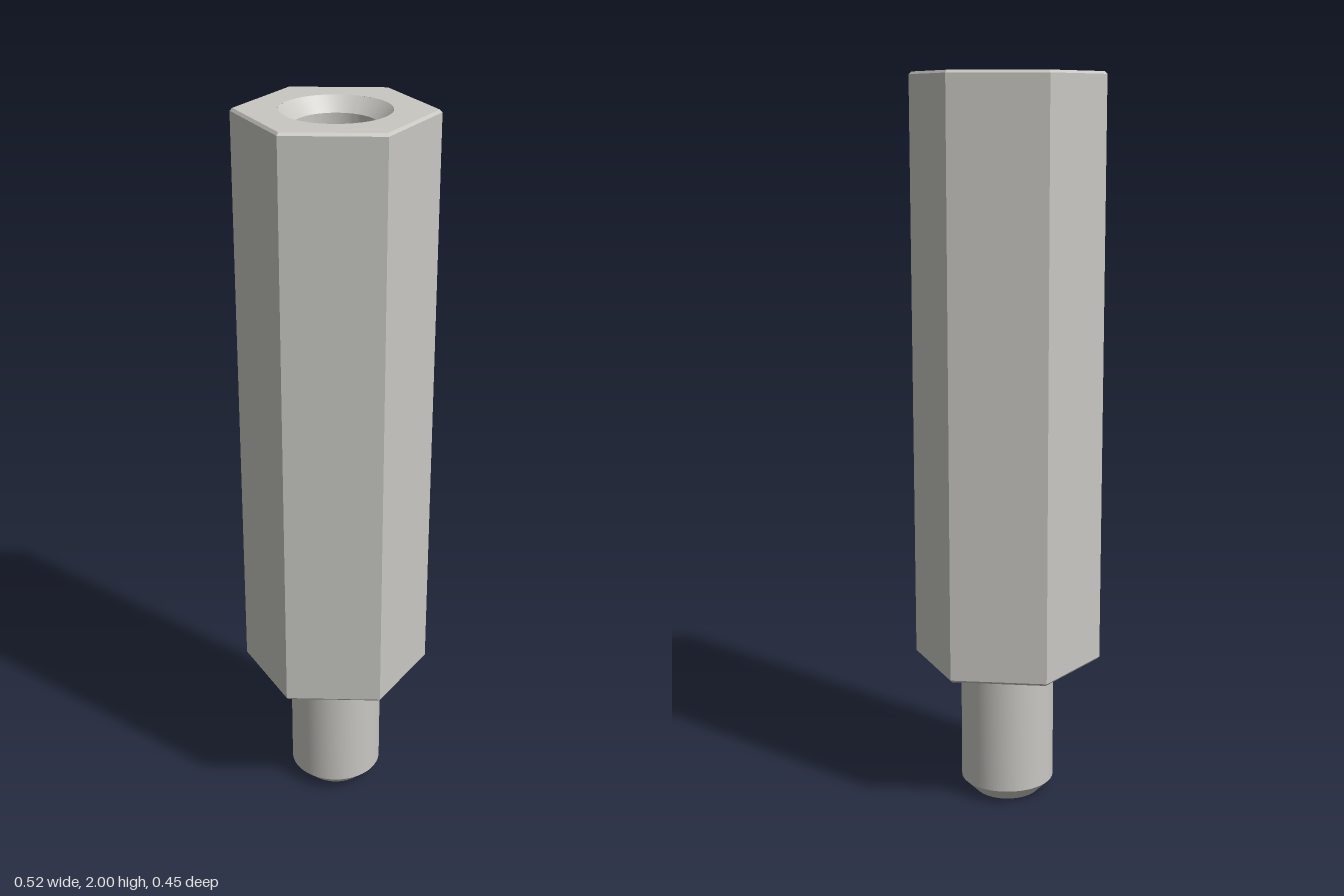
import * as THREE from 'three';
import { toCreasedNormals } from 'three/addons/utils/BufferGeometryUtils.js';

const HEX = 0.26, EDGE = 0.007;         // corner radius and edge chamfer
const BODY_BOTTOM = 0.395, TOP = 2;
const SINK = 0.142, BORE = 0.105, BORE_FLOOR = 1.2;

const metal = new THREE.MeshStandardMaterial({ color: 0xc8c7c2 });
metal.name = 'brushed steel';

// Revolve [radius, height] points; the profile runs so that faces point outward
function turned(name, profile, sides) {
  const points = profile.map(([r, y]) => new THREE.Vector2(r, y));
  const lathe = new THREE.LatheGeometry(points, sides, Math.PI / 2);
  const mesh = new THREE.Mesh(toCreasedNormals(lathe, 0.5), metal);
  mesh.name = name;
  return mesh;
}

export function createModel() {
  const group = new THREE.Group();
  group.name = 'hexStandoff';

  // Hexagonal body with thin chamfers at both ends
  group.add(turned('hexBody', [
    [0.1, BODY_BOTTOM], [HEX - EDGE, BODY_BOTTOM], [HEX, BODY_BOTTOM + EDGE],
    [HEX, TOP - EDGE], [HEX - EDGE, TOP],
  ], 6));

  // Top face with the round opening
  const corners = Array.from({ length: 6 }, (_, i) => new THREE.Vector2(
    (HEX - EDGE) * Math.cos(i * Math.PI / 3), (HEX - EDGE) * Math.sin(i * Math.PI / 3)));
  const face = new THREE.Shape(corners);
  face.holes.push(new THREE.Path().absarc(0, 0, SINK, 0, Math.PI * 2, true));
  const topFace = new THREE.Mesh(new THREE.ShapeGeometry(face, 64), metal);
  topFace.name = 'topFace';
  topFace.rotation.x = -Math.PI / 2;
  topFace.position.y = TOP;
  group.add(topFace);

  // Countersunk blind bore, seen from inside
  group.add(turned('bore', [
    [SINK, TOP], [BORE, TOP - 0.037], [BORE, BORE_FLOOR], [0, BORE_FLOOR],
  ], 64));

  // Stud with chamfered tip
  group.add(turned('stud', [
    [0, 0], [0.09, 0], [0.13, 0.04], [0.13, BODY_BOTTOM],
  ], 64));

  return group;
}
